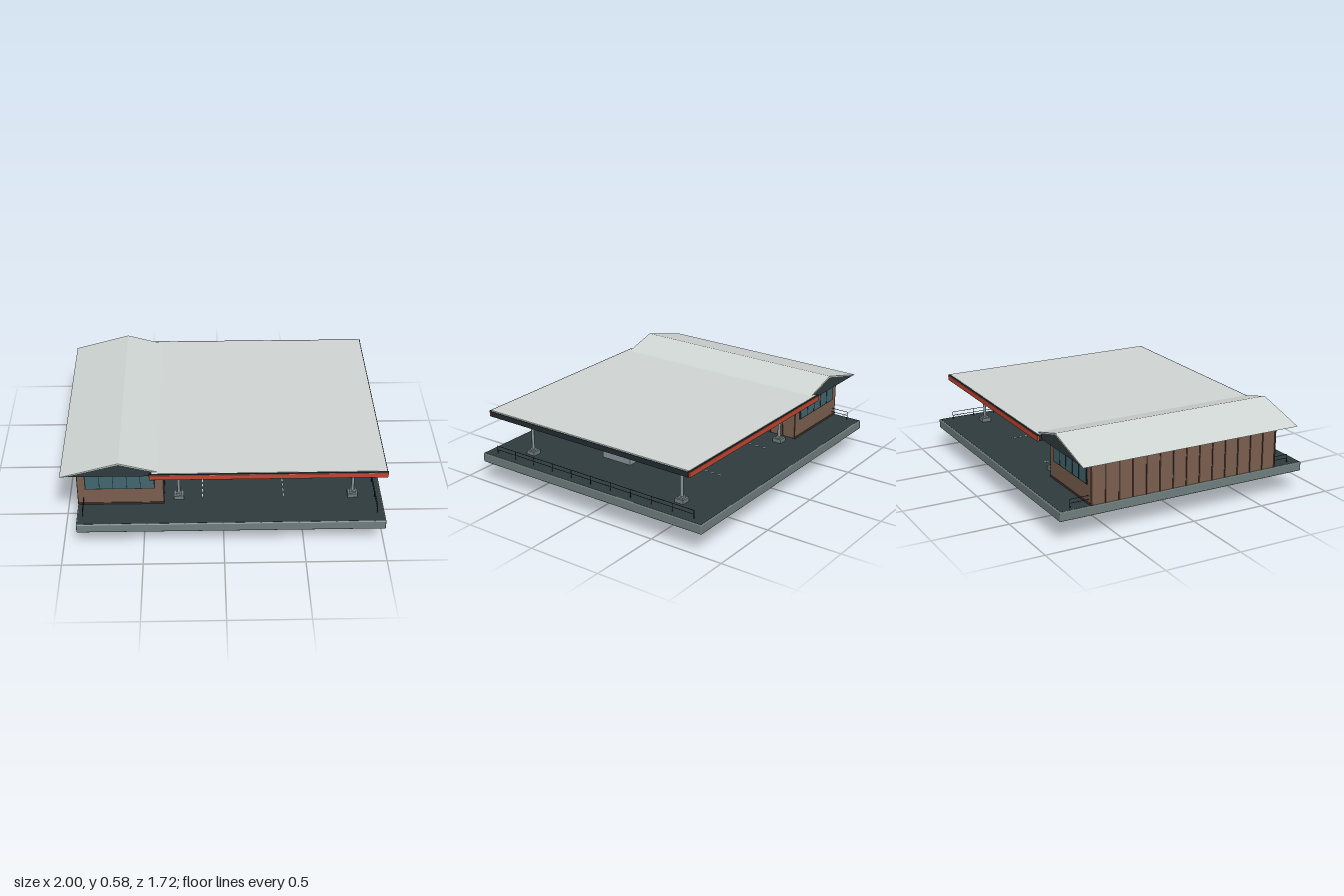
import * as THREE from 'three';
import { RoundedBoxGeometry } from 'three/addons/geometries/RoundedBoxGeometry.js';

const mat = (color) => new THREE.MeshStandardMaterial({ color });
const M = {
  concrete: mat(0x707d7d), floor: mat(0x2f3b3e), dark: mat(0x222c30), roof: mat(0xd0d6d4),
  red: mat(0xc04630), wood: mat(0x7a5f4f), batten: mat(0x4a382f), glass: mat(0x42666f),
  steel: mat(0x87949a), black: mat(0x20262a), white: mat(0xd8dcd8),
};

export function createModel() {
  const model = new THREE.Group();
  const group = (name) => {
    const g = new THREE.Group();
    g.name = name;
    model.add(g);
    return g;
  };
  const add = (parent, name, geo, material, x = 0, y = 0, z = 0) => {
    const m = new THREE.Mesh(geo, material);
    m.name = name;
    m.position.set(x, y, z);
    parent.add(m);
    return m;
  };
  // box given by its limits on each axis
  const box = (parent, name, material, [x0, x1], [y0, y1], [z0, z1]) =>
    add(parent, name, new THREE.BoxGeometry(x1 - x0, y1 - y0, z1 - z0), material,
      (x0 + x1) / 2, (y0 + y1) / 2, (z0 + z1) / 2);
  // round bar between two points
  const bar = (parent, name, material, a, b, r) => {
    const p = new THREE.Vector3(...a), q = new THREE.Vector3(...b);
    const m = add(parent, name, new THREE.CylinderGeometry(r, r, p.distanceTo(q), 8), material);
    m.position.copy(p).add(q).multiplyScalar(0.5);
    m.quaternion.setFromUnitVectors(new THREE.Vector3(0, 1, 0), q.sub(p).normalize());
    return m;
  };
  // outline in x and y, extruded along z about the centre
  const prism = (points, depth) => {
    const s = new THREE.Shape(points.map(([x, y]) => new THREE.Vector2(x, y)));
    return new THREE.ExtrudeGeometry(s, { depth, bevelEnabled: false }).translate(0, 0, -depth / 2);
  };

  // Platform
  const platform = group('platform');
  add(platform, 'platformSlab', new RoundedBoxGeometry(1.91, 0.06, 1.72, 2, 0.006), M.concrete, 0.045, 0.169, 0);
  box(platform, 'platformFloor', M.floor, [-0.903, 0.993], [0.19, 0.2], [-0.852, 0.852]);
  for (const x of [-0.13, 0.38])
    for (let i = 0; i < 24; i++) {
      const z = -0.58 + i * 0.05;
      box(platform, 'floorMarking', M.white, [x - 0.003, x + 0.003], [0.199, 0.202], [z, z + 0.025]);
    }

  // Station house: walls, battens, windows
  const house = group('stationHouse');
  box(house, 'walls', M.wood, [-0.905, -0.375], [0.2, 0.49], [-0.655, 0.655]);
  for (const x of [-0.906, -0.374])
    for (let i = 0; i <= 14; i++) {
      const z = -0.651 + i * 0.093;
      box(house, 'batten', M.batten, [x - 0.004, x + 0.004], [0.2, 0.487], [z - 0.004, z + 0.004]);
    }
  for (const s of [1, -1]) {
    const span = (a, b) => [Math.min(a * s, b * s), Math.max(a * s, b * s)];
    box(house, 'windowFrame', M.black, [-0.862, -0.425], [0.32, 0.428], span(0.65, 0.66));
    box(house, 'windowGlass', M.glass, [-0.855, -0.432], [0.327, 0.421], span(0.655, 0.663));
    for (let i = 1; i < 5; i++) {
      const x = -0.855 + i * 0.0846;
      box(house, 'mullion', M.black, [x - 0.0015, x + 0.0015], [0.327, 0.421], span(0.66, 0.665));
    }
    box(house, 'wallBase', M.batten, [-0.908, -0.372], [0.2, 0.212], span(0.64, 0.659));
  }

  // Gabled roof with dark gable ends under a thin light shell
  const gable = group('gableRoof');
  add(gable, 'gableEnds', prism([[-0.98, 0.485], [-0.3, 0.485], [-0.64, 0.575]], 1.496), M.floor);
  add(gable, 'roofShell', prism([
    [-1, 0.484], [-0.98, 0.484], [-0.64, 0.574], [-0.3, 0.484], [-0.28, 0.484], [-0.64, 0.583],
  ], 1.5), M.roof);

  // Flat canopy with red fascias front and back
  const canopy = group('canopy');
  box(canopy, 'canopyDeck', M.dark, [-0.45, 0.998], [0.476, 0.51], [-0.765, 0.765]);
  box(canopy, 'canopyTop', M.roof, [-0.44, 0.994], [0.508, 0.518], [-0.768, 0.768]);
  for (const s of [-1, 1]) {
    add(canopy, 'fascia', new RoundedBoxGeometry(1.455, 0.036, 0.014, 2, 0.004), M.red, 0.2725, 0.494, s * 0.773);
    box(canopy, 'fasciaCap', M.dark, [-0.455, 1], [0.51, 0.516], [s * 0.771 - 0.006, s * 0.771 + 0.006]);
  }

  // Columns with footings and inward braces
  const columns = group('columns');
  for (const z of [-0.59, 0.59])
    for (const [x, dir] of [[-0.28, 1], [0.815, -1]]) {
      box(columns, 'footing', M.concrete, [x - 0.031, x + 0.031], [0.2, 0.226], [z - 0.031, z + 0.031]);
      box(columns, 'columnShoe', M.steel, [x - 0.018, x + 0.018], [0.226, 0.236], [z - 0.018, z + 0.018]);
      bar(columns, 'column', M.steel, [x, 0.23, z], [x, 0.48, z], 0.01);
      bar(columns, 'brace', M.steel, [x, 0.4, z], [x + dir * 0.1, 0.478, z], 0.004);
    }

  // Light rails hung under the canopy
  const lights = group('hangingLights');
  for (const x of [-0.005, 0.542]) {
    box(lights, 'lightRail', M.steel, [x - 0.006, x + 0.006], [0.418, 0.43], [-0.66, 0.66]);
    for (let i = -3; i <= 3; i++) {
      const z = i * 0.182;
      bar(lights, 'lightHanger', M.black, [x, 0.42, z], [x, 0.48, z], 0.0015);
      add(lights, 'lamp', new THREE.CylinderGeometry(0.007, 0.01, 0.024, 12), M.black, x, 0.4, z);
    }
  }

  // Low railings along both ends of the platform
  const rails = group('edgeRailings');
  for (const x of [-0.872, 0.952]) {
    for (const y of [0.228, 0.253])
      bar(rails, 'railingBar', M.black, [x, y, -0.775], [x, y, 0.775], 0.002);
    for (let i = 0; i <= 10; i++) {
      const z = -0.775 + i * 0.155;
      bar(rails, 'railingPost', M.black, [x, 0.2, z], [x, 0.253, z], 0.002);
    }
  }

  // Cabin hanging through the platform, plan outline with rounded corners
  const cabin = group('cabin');
  const ring = (name, material, w, d, y0, y1, taperBottom, taperTop) => {
    const r = 0.035, a = w / 2 - r, b = d / 2 - r, s = new THREE.Shape();
    s.absarc(a, b, r, 0, Math.PI / 2);
    s.absarc(-a, b, r, Math.PI / 2, Math.PI);
    s.absarc(-a, -b, r, Math.PI, Math.PI * 1.5);
    s.absarc(a, -b, r, Math.PI * 1.5, Math.PI * 2);
    const geo = new THREE.ExtrudeGeometry(s, { depth: y1 - y0, bevelEnabled: false, curveSegments: 5 });
    geo.rotateX(-Math.PI / 2);
    const p = geo.attributes.position;
    for (let i = 0; i < p.count; i++) {
      const k = p.getY(i) > (y1 - y0) / 2 ? taperTop : taperBottom;
      p.setX(i, p.getX(i) - Math.sign(p.getX(i)) * k);
      p.setZ(i, p.getZ(i) - Math.sign(p.getZ(i)) * k);
    }
    geo.computeVertexNormals();
    return add(cabin, name, geo, material, 0.269, y0, 0);
  };
  ring('cabinFloor', M.red, 0.256, 0.38, 0, 0.012, 0.008, 0);
  ring('cabinBody', M.red, 0.256, 0.38, 0.012, 0.055, 0, 0.002);
  ring('cabinSill', M.black, 0.256, 0.38, 0.055, 0.06, 0.002, 0.003);
  ring('cabinGlass', M.glass, 0.25, 0.374, 0.06, 0.2, 0, 0.028);
  for (const s of [-1, 1]) {
    for (const x of [-0.085, -0.043, 0, 0.043, 0.085])
      bar(cabin, 'windowBar', M.black, [0.269 + x, 0.06, s * 0.187], [0.269 + x * 0.85, 0.145, s * 0.17], 0.002);
    for (const z of [-0.145, -0.09, -0.045, 0, 0.045, 0.09, 0.145])
      bar(cabin, 'windowBar', M.black, [0.269 + s * 0.125, 0.06, z], [0.269 + s * 0.108, 0.145, z * 0.92], 0.002);
    for (const z of [-0.13, 0.13])
      box(cabin, 'bumper', M.black, [0.269 + s * 0.126 - 0.004, 0.269 + s * 0.126 + 0.004], [0.012, 0.018], [z - 0.035, z + 0.035]);
  }

  // Suspension carriage above the cabin
  const carriage = group('carriage');
  add(carriage, 'cabinRoof', new RoundedBoxGeometry(0.345, 0.06, 0.385, 2, 0.006), M.concrete, 0.269, 0.232, 0);
  add(carriage, 'carriageBeam', new RoundedBoxGeometry(0.86, 0.046, 0.22, 2, 0.005), M.steel, 0.269, 0.281, 0);
  box(carriage, 'carriageTrack', M.black, [-0.15, 0.685], [0.304, 0.314], [-0.045, 0.045]);
  bar(carriage, 'upperCable', M.black, [-0.097, 0.368, 0], [0.632, 0.368, 0], 0.002);
  for (let i = 0; i < 5; i++) {
    const x = -0.097 + i * 0.18225;
    bar(carriage, 'cableSupport', M.black, [x, 0.31, 0], [x, 0.368, 0], 0.002);
  }
  for (const x of [-0.042, 0.58]) {
    bar(carriage, 'hangerRod', M.black, [x, 0.23, 0], [x, 0.26, 0], 0.002);
    add(carriage, 'hangerWeight', new THREE.CylinderGeometry(0.006, 0.008, 0.02, 10), M.black, x, 0.224, 0);
  }
  return model;
}
